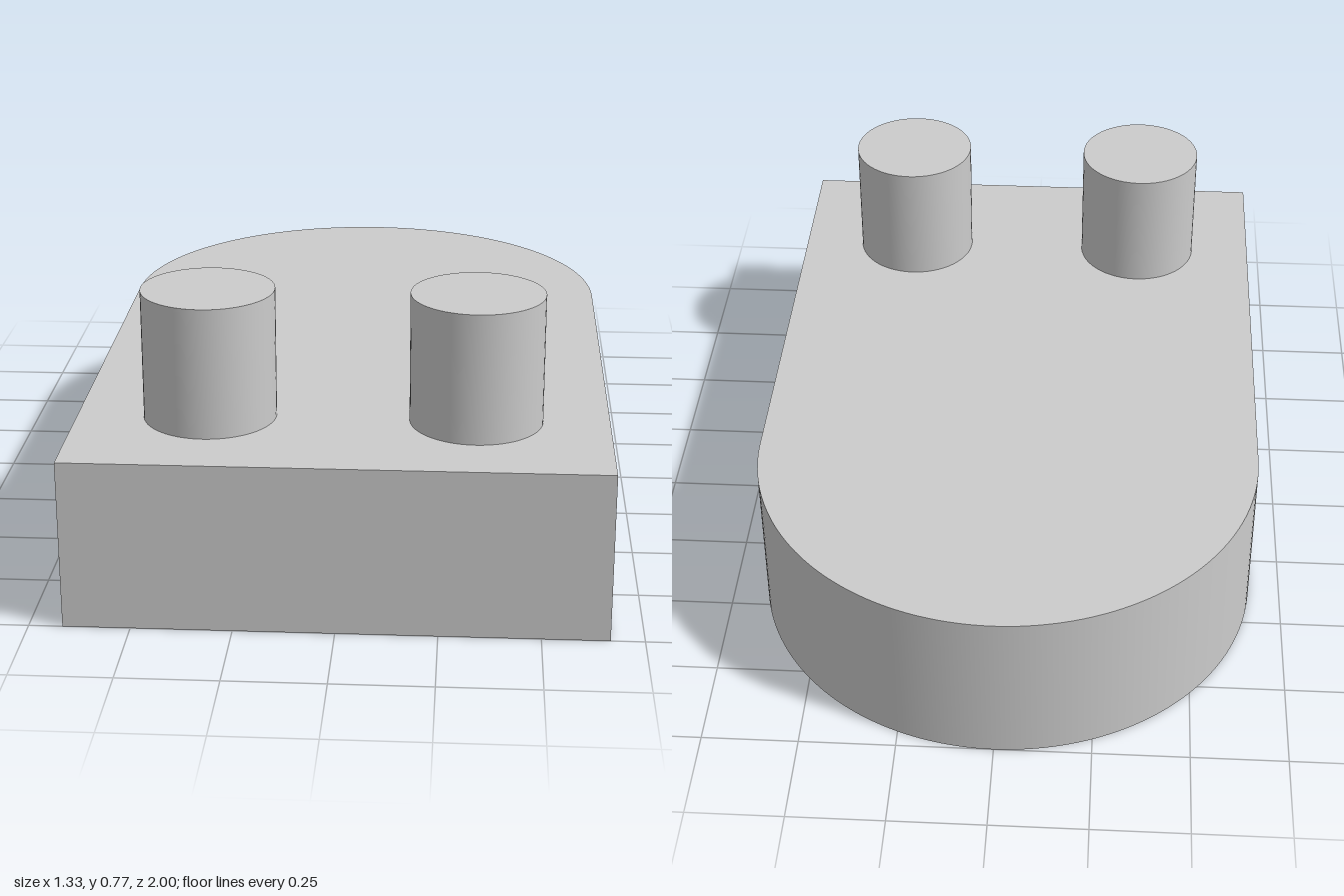
import * as THREE from 'three';
import { toCreasedNormals } from 'three/addons/utils/BufferGeometryUtils.js';

const HALF_WIDTH = 2 / 3;
const BASE_HEIGHT = 0.433;
const PEG_RADIUS = 1 / 6;
const PEG_HEIGHT = 1 / 3;

export function createModel() {
  const model = new THREE.Group();
  const material = new THREE.MeshStandardMaterial({ color: 0xcccccc });

  const add = (name, geometry, x = 0, y = 0, z = 0) => {
    const mesh = new THREE.Mesh(geometry, material);
    mesh.name = name;
    mesh.position.set(x, y, z);
    model.add(mesh);
  };

  // Base slab: square at the front, half-round at the back (outline y is -z)
  const outline = new THREE.Shape();
  outline.moveTo(-HALF_WIDTH, -1);
  outline.lineTo(HALF_WIDTH, -1);
  outline.lineTo(HALF_WIDTH, 1 - HALF_WIDTH);
  outline.absarc(0, 1 - HALF_WIDTH, HALF_WIDTH, 0, Math.PI, false);
  outline.closePath();
  const slab = new THREE.ExtrudeGeometry(outline, {
    depth: BASE_HEIGHT,
    bevelEnabled: false,
    curveSegments: 48,
  });
  slab.rotateX(-Math.PI / 2);
  add('base', toCreasedNormals(slab, Math.PI / 6));

  // Pair of upright pegs near the front edge
  const peg = new THREE.CylinderGeometry(PEG_RADIUS, PEG_RADIUS, PEG_HEIGHT, 64);
  for (const [name, side] of [['leftPeg', 1], ['rightPeg', -1]]) {
    add(name, peg, side / 3, BASE_HEIGHT + PEG_HEIGHT / 2, 2 / 3);
  }

  return model;
}
